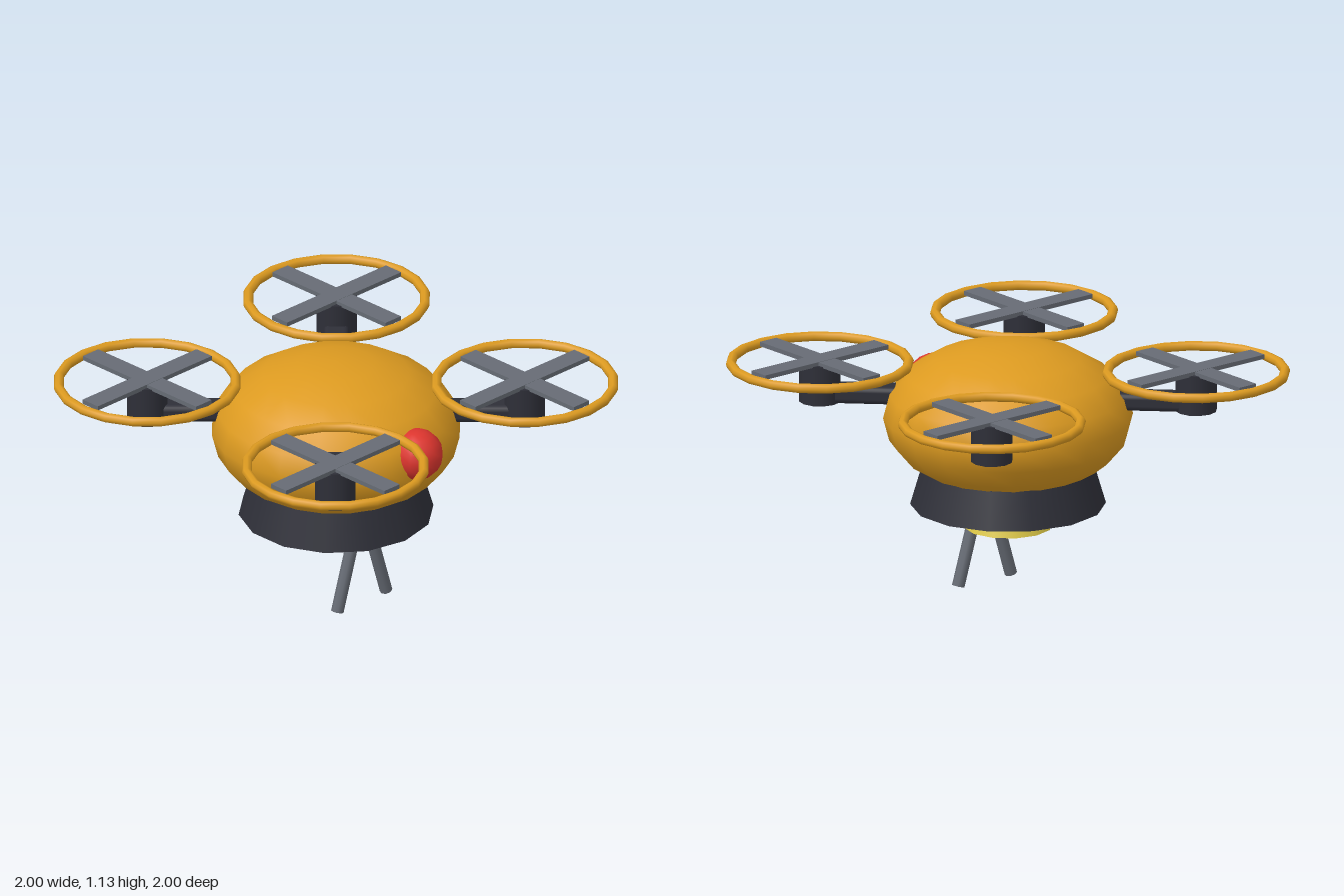
import * as THREE from 'three';
import { RoundedBoxGeometry } from 'three/addons/geometries/RoundedBoxGeometry.js';

const material = (name, color) => {
  const m = new THREE.MeshStandardMaterial({ color });
  m.name = name;
  return m;
};

export function createModel() {
  const orange = material('orange', 0xdc9a20);
  const charcoal = material('charcoal', 0x2e2f38);
  const grey = material('grey', 0x666b74);
  const red = material('red', 0xdc352e);
  const yellow = material('yellow', 0xdac545);

  const model = new THREE.Group();
  model.name = 'drone';
  const add = (parent, name, geometry, mat, x = 0, y = 0, z = 0) => {
    const mesh = new THREE.Mesh(geometry, mat);
    mesh.name = name;
    mesh.position.set(x, y, z);
    parent.add(mesh);
    return mesh;
  };

  // Squashed round hull with a nose light
  add(model, 'body', new THREE.SphereGeometry(0.55, 20, 10), orange, 0, 0.8, 0).scale.y = 0.6;
  add(model, 'nose', new THREE.SphereGeometry(0.115, 12, 10), red, 0, 0.85, 0.505);

  // Flared skirt and lamp underneath
  add(model, 'skirt', new THREE.CylinderGeometry(0.38, 0.43, 0.17, 14), charcoal, 0, 0.483, 0);
  add(model, 'lamp', new THREE.CylinderGeometry(0.15, 0.195, 0.12, 12), yellow, 0, 0.355, 0);

  // Two splayed prongs
  const prong = new THREE.CylinderGeometry(0.028, 0.028, 0.31, 8);
  for (const side of [-1, 1]) {
    add(model, side > 0 ? 'leftProng' : 'rightProng', prong, grey, side * 0.105, 0.157, 0.16)
      .rotation.z = side * 0.3;
  }

  // Four rotors: each arm runs along local x, out to the motor
  const armGeo = new RoundedBoxGeometry(0.36, 0.08, 0.11, 2, 0.025);
  const motorGeo = new THREE.CylinderGeometry(0.092, 0.092, 0.18, 12);
  const bladeGeo = new THREE.BoxGeometry(0.705, 0.02, 0.095);
  const ringGeo = new THREE.TorusGeometry(0.392, 0.022, 8, 20).rotateX(Math.PI / 2);
  for (const sx of [-1, 1]) {
    for (const sz of [-1, 1]) {
      const rotor = new THREE.Group();
      rotor.name = (sz > 0 ? 'front' : 'back') + (sx > 0 ? 'Left' : 'Right') + 'Rotor';
      rotor.position.set(sx * 0.586, 0, sz * 0.586);
      model.add(rotor);
      add(rotor, 'arm', armGeo, charcoal, -sx * 0.135, 0.888, -sz * 0.135)
        .rotation.y = -sx * sz * Math.PI / 4;
      add(rotor, 'motor', motorGeo, charcoal, 0, 0.938, 0);
      add(rotor, 'bladeAcross', bladeGeo, grey, 0, 1.034, 0);
      add(rotor, 'bladeAlong', bladeGeo, grey, 0, 1.033, 0).rotation.y = Math.PI / 2;
      add(rotor, 'guardRing', ringGeo, orange, 0, 1.022, 0);
    }
  }
  return model;
}
